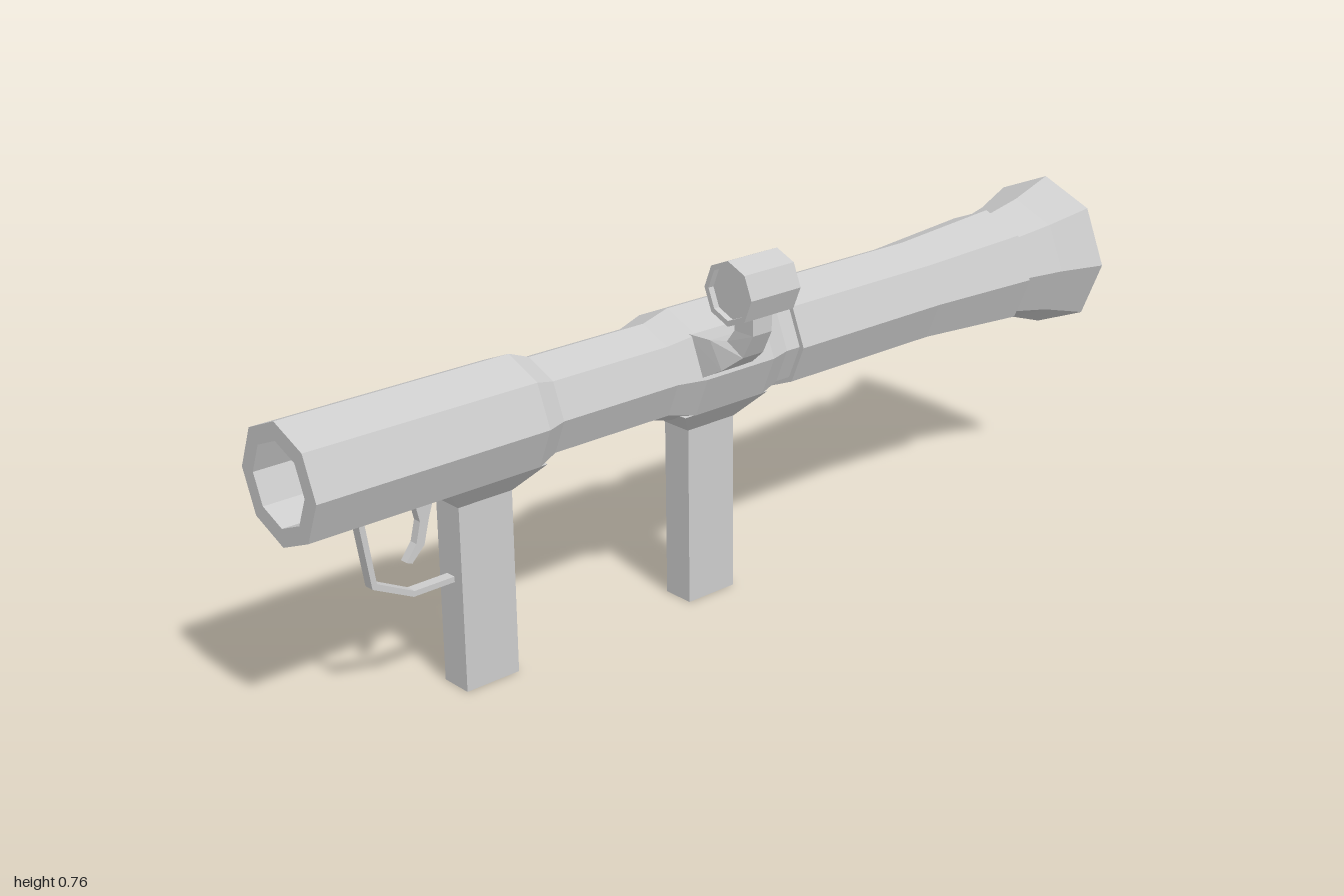
import * as THREE from 'three';

const AXIS_Y = 0.502, AXIS_Z = -0.045;

export function createModel() {
  const group = new THREE.Group();
  const mat = new THREE.MeshStandardMaterial({ color: 0xcccccc, flatShading: true });

  function add(name, geo, x = 0, y = 0, z = 0) {
    const mesh = new THREE.Mesh(geo, mat);
    mesh.name = name;
    mesh.position.set(x, y, z);
    group.add(mesh);
    return mesh;
  }

  // Eight-sided turned part along x; profile is [x, radius] from the rear centre to the front centre
  function octagonal(profile) {
    const points = profile.map(([x, r]) => new THREE.Vector2(r, x));
    return new THREE.LatheGeometry(points, 8).toNonIndexed().rotateZ(-Math.PI / 2);
  }

  // Closed loft through four-cornered sections, listed from bottom to top
  function loft(sections) {
    const pos = [];
    const quad = (a, b, c, d) => pos.push(...a, ...b, ...c, ...a, ...c, ...d);
    for (let s = 0; s < sections.length - 1; s++) {
      const lo = sections[s], hi = sections[s + 1];
      for (let i = 0; i < 4; i++) {
        const j = (i + 1) % 4;
        quad(lo[i], lo[j], hi[j], hi[i]);
      }
    }
    const first = sections[0], last = sections[sections.length - 1];
    quad(first[3], first[2], first[1], first[0]);
    quad(...last);
    const geo = new THREE.BufferGeometry();
    geo.setAttribute('position', new THREE.Float32BufferAttribute(pos, 3));
    geo.computeVertexNormals();
    return geo;
  }

  // Section spanning x +-half width between a front and a back edge given as [z, y]
  const section = (half, [zf, yf], [zb, yb]) =>
    [[-half, yf, zf], [half, yf, zf], [half, yb, zb], [-half, yb, zb]];

  // Flat outline in x, y with a thickness in z, centred on the tube
  function plate(outline, depth) {
    const shape = new THREE.Shape(outline.map(([x, y]) => new THREE.Vector2(x, y)));
    return new THREE.ExtrudeGeometry(shape, { depth, bevelEnabled: false })
      .translate(0, 0, AXIS_Z - depth / 2);
  }

  // Launch tube with hollow rear and flared muzzle
  add('tube', octagonal([
    [-0.6, 0], [-0.6, 0.08], [-1, 0.08], [-1, 0.115],
    [-0.51, 0.115], [-0.465, 0.098], [-0.19, 0.098], [-0.13, 0.115],
    [0.045, 0.115], [0.095, 0.1], [0.13, 0.1], [0.13, 0.111],
    [0.53, 0.111], [0.8, 0.13], [0.8, 0.117], [0.9, 0.137],
    [1, 0.17], [1, 0.155], [0.8, 0.072], [0.8, 0],
  ]), 0, AXIS_Y, AXIS_Z);

  // Two grips, each under a tapered mount
  for (const [name, x] of [['rear', -0.6], ['front', -0.048]]) {
    add(name + 'Grip', new THREE.BoxGeometry(0.12, 0.38, 0.068), x, 0.19, AXIS_Z);
    add(name + 'GripMount', loft([
      section(0.061, [0.034, 0.37], [-0.034, 0.37]),
      section(0.108, [0.08, 0.421], [-0.08, 0.421]),
    ]), x, 0, AXIS_Z);
  }

  // Curved trigger and its guard
  add('trigger', plate([
    [-0.74, 0.41], [-0.727, 0.355], [-0.737, 0.315], [-0.76, 0.285],
    [-0.748, 0.28], [-0.72, 0.308], [-0.708, 0.355], [-0.69, 0.41],
  ], 0.018));
  add('triggerGuard', plate([
    [-0.858, 0.4], [-0.836, 0.258], [-0.75, 0.216], [-0.65, 0.216],
    [-0.65, 0.227], [-0.748, 0.227], [-0.826, 0.266], [-0.846, 0.4],
  ], 0.022));

  // Bent sight bracket rising from the side of the tube
  add('sightBracket', loft([
    section(0.046, [0.06, 0.505], [0.02, 0.585]),
    section(0.04, [0.112, 0.532], [0.08, 0.585]),
    section(0.026, [0.155, 0.565], [0.112, 0.588]),
    section(0.024, [0.18, 0.613], [0.13, 0.613]),
    section(0.024, [0.18, 0.66], [0.13, 0.66]),
  ]), -0.093, 0, 0);

  // Short sight with recessed ends
  add('sight', octagonal([
    [-0.05, 0], [-0.05, 0.052], [-0.0625, 0.052], [-0.0625, 0.063],
    [0.0625, 0.063], [0.0625, 0.052], [0.05, 0.052], [0.05, 0],
  ]), -0.093, 0.698, 0.153);

  return group;
}
